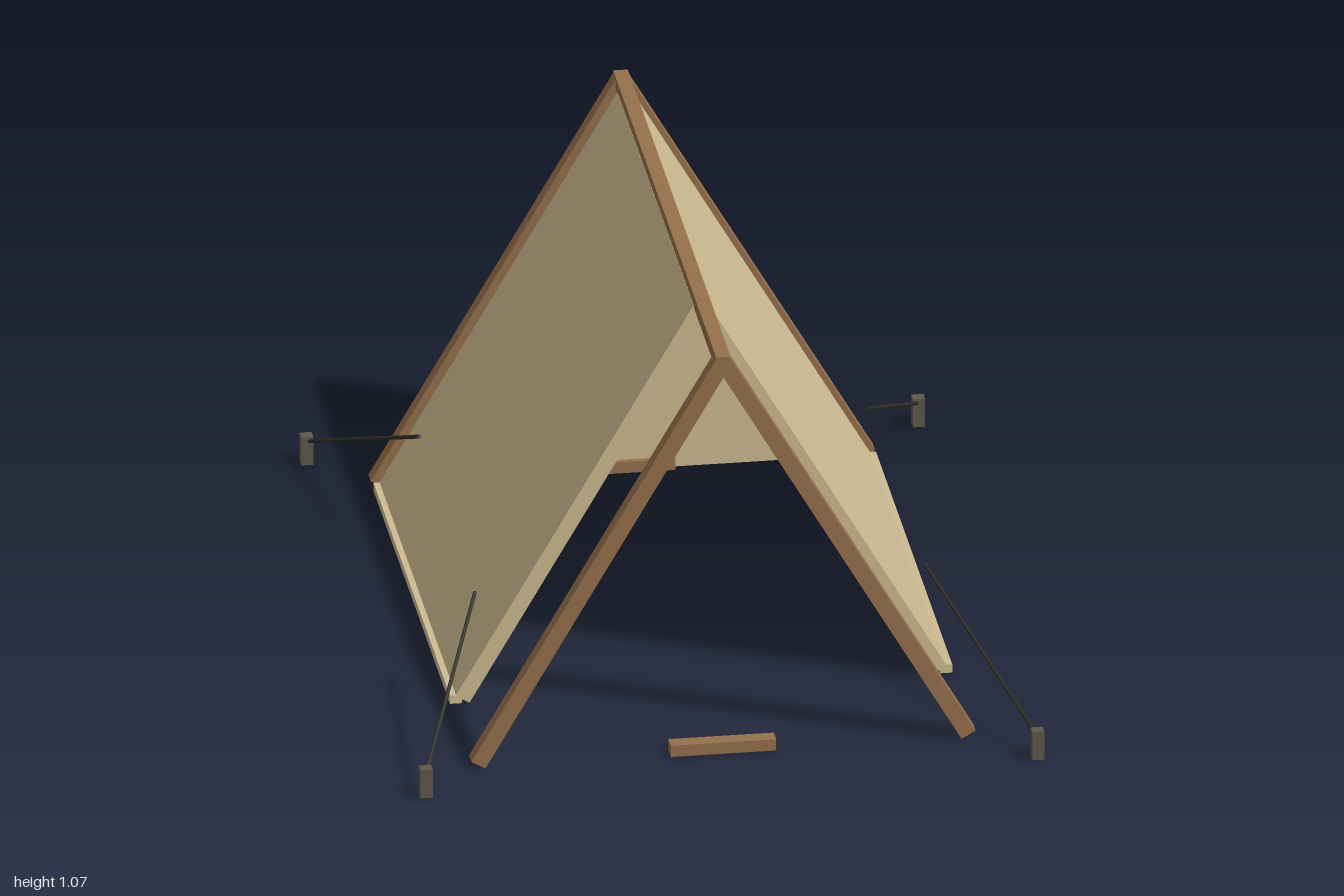
import * as THREE from 'three';

const mat = (name, color) => {
  const m = new THREE.MeshStandardMaterial({ color });
  m.name = name;
  return m;
};

export function createModel() {
  const wood = mat('wood', 0x96704c);
  const canvas = mat('canvas', 0xcdbb91);
  const stakeMat = mat('stake', 0x5f594b);
  const ropeMat = mat('rope', 0x302d29);

  const model = new THREE.Group();
  model.name = 'tent';

  const box = (name, material, size, pos, parent = model) => {
    const mesh = new THREE.Mesh(new THREE.BoxGeometry(...size), material);
    mesh.name = name;
    mesh.position.set(...pos);
    parent.add(mesh);
    return mesh;
  };

  // Slope of the A-frame, measured from the apex down to a foot
  const apexY = 1.05, footX = 0.605, footY = 0.01;
  const angle = Math.atan2(footX, apexY - footY);
  const length = Math.hypot(footX, apexY - footY);

  for (const side of [-1, 1]) {
    const slope = new THREE.Group();
    slope.name = side > 0 ? 'leftSlope' : 'rightSlope';
    slope.position.y = apexY;
    slope.rotation.z = side * angle;
    model.add(slope);

    // Frame poles at both ends
    for (const z of [-0.83, 0.83])
      box('framePole', wood, [0.04, length, 0.04], [0, -length / 2, z], slope);

    // Canvas roof panel and the hem along its lower edge
    const top = 0.02, bottom = length - 0.015;
    box('roofPanel', canvas, [0.04, bottom - top, 1.26],
      [-side * 0.01, -(top + bottom) / 2, -0.15], slope);
    box('hem', canvas, [0.03, 0.022, 1.26], [side * 0.605, 0.019, -0.15]);
  }

  // Ridge pole
  box('ridgePole', wood, [0.036, 0.034, 1.7], [0, 1.048, 0]);

  // Short ground logs at the two ends
  for (const z of [-0.83, 0.83])
    box('groundLog', wood, [0.26, 0.03, 0.04], [0, 0.015, z]);

  // Closed back wall
  const tri = new THREE.Shape();
  tri.moveTo(-0.595, 0.003);
  tri.lineTo(0.595, 0.003);
  tri.lineTo(0, 1.03);
  const wall = new THREE.Mesh(
    new THREE.ExtrudeGeometry(tri, { depth: 0.012, bevelEnabled: false }), canvas);
  wall.name = 'backWall';
  wall.position.z = -0.836;
  model.add(wall);

  // Stakes and guy ropes at the four corners
  for (const sx of [-1, 1]) {
    for (const sz of [-1, 1]) {
      box('stake', stakeMat, [0.03, 0.075, 0.03], [sx * 0.755, 0.0375, sz * 0.985]);
      const a = new THREE.Vector3(sx * 0.755, 0.058, sz * 0.985);
      const b = new THREE.Vector3(sx * 0.555, 0.295, sz * 0.46);
      const dir = b.clone().sub(a);
      const rope = new THREE.Mesh(
        new THREE.CylinderGeometry(0.005, 0.005, dir.length(), 6), ropeMat);
      rope.name = 'guyRope';
      rope.position.copy(a).add(b).multiplyScalar(0.5);
      rope.quaternion.setFromUnitVectors(new THREE.Vector3(0, 1, 0), dir.normalize());
      model.add(rope);
    }
  }
  return model;
}
